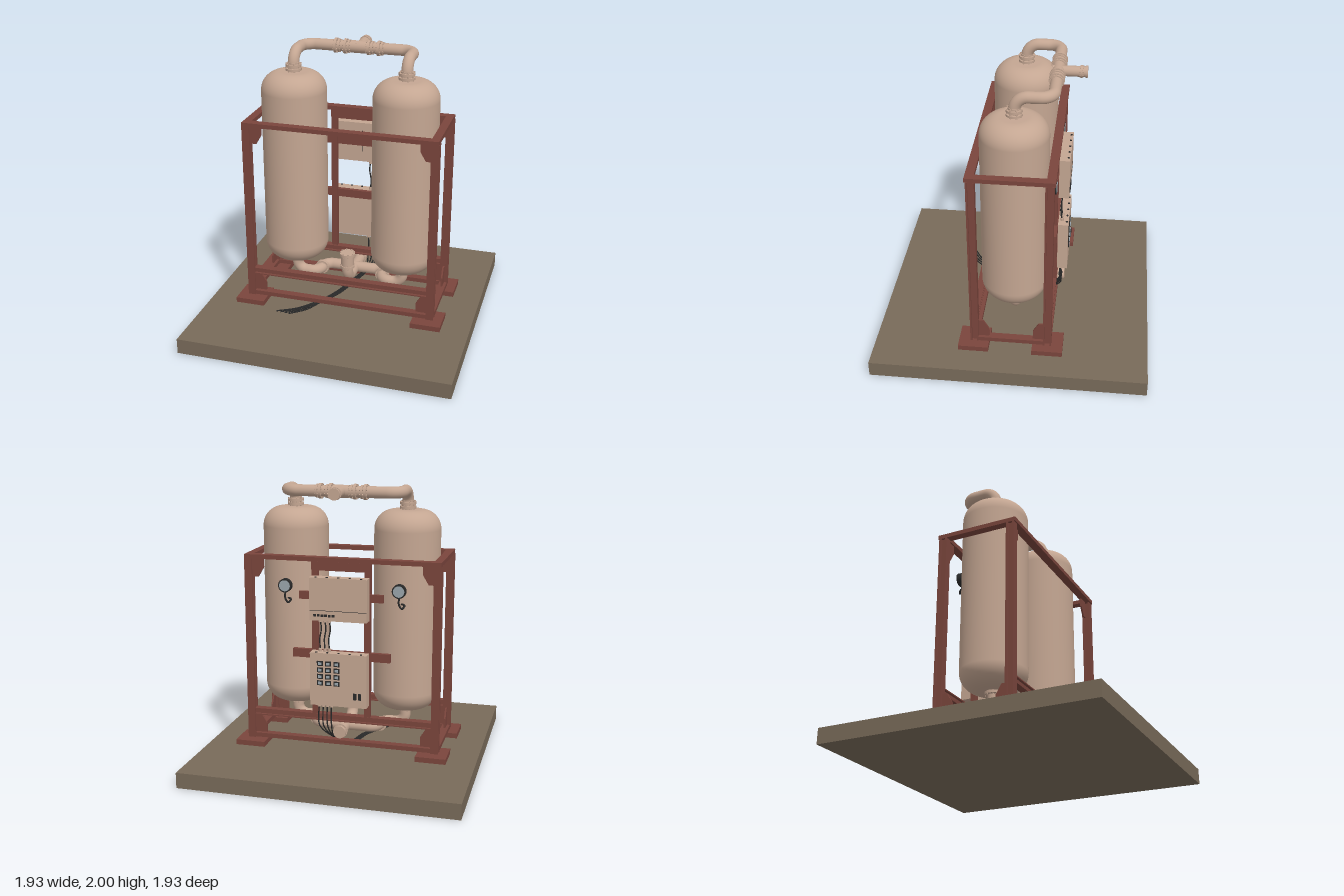
import * as THREE from 'three';

const mat = (color) => new THREE.MeshStandardMaterial({ color });
const TAN = mat(0xc4a692), RUST = mat(0x7a453c), STONE = mat(0x786a59), DARK = mat(0x2a2a2a), PALE = mat(0x9aa5ab);
const V = (p) => new THREE.Vector3(...p);

export function createModel() {
  const root = new THREE.Group();

  const add = (name, geo, material, parent = root) => {
    const m = new THREE.Mesh(geo, material);
    m.name = name;
    parent.add(m);
    return m;
  };
  // Box given by its low and high corners
  const box = (name, material, x0, x1, y0, y1, z0, z1) => {
    const m = add(name, new THREE.BoxGeometry(x1 - x0, y1 - y0, z1 - z0), material);
    m.position.set((x0 + x1) / 2, (y0 + y1) / 2, (z0 + z1) / 2);
    return m;
  };
  const orient = (o, axis) => {
    if (axis === 'x') o.rotation.z = Math.PI / 2;
    if (axis === 'z') o.rotation.x = Math.PI / 2;
  };
  const disc = (name, material, p, axis, r, h, sides = 32) => {
    const m = add(name, new THREE.CylinderGeometry(r, r, h, sides), material);
    m.position.set(...p);
    orient(m, axis);
    return m;
  };
  // Bolted pipe flange
  const flange = (p, axis, r = 0.054, h = 0.02) => {
    const g = new THREE.Group();
    g.name = 'flange';
    add('flangeDisc', new THREE.CylinderGeometry(r, r, h, 32), TAN, g);
    for (let i = 0; i < 8; i++) {
      const a = (i + 0.5) * Math.PI / 4;
      const b = add('bolt', new THREE.CylinderGeometry(0.005, 0.005, h + 0.014, 6), TAN, g);
      b.position.set(Math.cos(a) * (r - 0.007), 0, Math.sin(a) * (r - 0.007));
    }
    g.position.set(...p);
    orient(g, axis);
    root.add(g);
  };
  // Pipe through corner points with rounded bends
  const pipe = (name, pts, bend, r = 0.04) => {
    const path = new THREE.CurvePath();
    const P = pts.map(V);
    let last = P[0];
    for (let i = 1; i < P.length - 1; i++) {
      const a = P[i].clone().add(P[i - 1].clone().sub(P[i]).setLength(bend));
      const b = P[i].clone().add(P[i + 1].clone().sub(P[i]).setLength(bend));
      const k = 0.552;
      path.add(new THREE.LineCurve3(last, a));
      path.add(new THREE.CubicBezierCurve3(a, a.clone().lerp(P[i], k), b.clone().lerp(P[i], k), b));
      last = b;
    }
    path.add(new THREE.LineCurve3(last, P[P.length - 1]));
    add(name, new THREE.TubeGeometry(path, 72, r, 24), TAN);
  };
  const cable = (name, pts, r = 0.005) =>
    add(name, new THREE.TubeGeometry(new THREE.CatmullRomCurve3(pts.map(V)), 48, r, 6), DARK);

  // Ground slab
  box('slab', STONE, -0.965, 0.965, 0, 0.11, -0.965, 0.965);

  // Tank profile with rounded shoulders
  const profile = [];
  const R = 0.232, c = 0.135;
  const arc = (yc, from) => {
    for (let i = 0; i <= 12; i++) {
      const a = from + (i / 12) * Math.PI / 2;
      profile.push(new THREE.Vector2(R - c + Math.cos(a) * c, yc + Math.sin(a) * c));
    }
  };
  profile.push(new THREE.Vector2(0, 0.388));
  arc(0.388 + c, -Math.PI / 2);
  arc(1.81 - c, 0);
  profile.push(new THREE.Vector2(0, 1.81));

  // Corner gusset: cut plate in its own plane, corner at the origin
  const gussetGeo = (w, h) => {
    const s = new THREE.Shape([[0, 0], [w, 0], [w, h * 0.5], [w * 0.5, h], [0, h]].map((q) => new THREE.Vector2(...q)));
    return new THREE.ExtrudeGeometry(s, { depth: 0.012, bevelEnabled: false }).translate(0, 0, -0.006);
  };
  const gusset = (x, y, z, turn, flip) => {
    const m = add('gusset', gussetGeo(0.08, 0.135), RUST);
    m.position.set(x, y, z);
    m.rotation.set(flip ? Math.PI : 0, turn, 0);
  };

  for (const s of [-1, 1]) {
    const x = s * 0.405;
    add('tank', new THREE.LatheGeometry(profile, 64), TAN).position.x = x;

    // Tank necks
    for (const y of [1.825, 1.855]) flange([x, y, 0], 'y', 0.057, 0.016);
    disc('topNeck', TAN, [x, 1.835, 0], 'y', 0.043, 0.08);
    flange([x, 0.375, 0], 'y', 0.06, 0.02);

    // Upper and lower pipe runs
    pipe('upperPipe', [[x, 1.82, 0], [x, 1.947, 0], [x, 1.947, -0.25], [0, 1.947, -0.25]], 0.09);
    pipe('lowerPipe', [[x, 0.4, 0], [x, 0.26, 0], [s * 0.235, 0.26, 0], [s * 0.235, 0.26, -0.15], [0, 0.26, -0.15]], 0.072);
    for (const fx of [0.085, 0.157]) {
      flange([s * fx - 0.012, 1.947, -0.25], 'x', 0.053, 0.018);
      flange([s * fx + 0.012, 1.947, -0.25], 'x', 0.047, 0.014);
    }
    flange([s * 0.235, 0.26, -0.075], 'z', 0.052, 0.025);

    // Pressure gauge with its siphon
    disc('gaugeCase', DARK, [x, 1.285, -0.265], 'z', 0.048, 0.035);
    disc('gaugeFace', PALE, [x, 1.285, -0.284], 'z', 0.039, 0.004);
    disc('gaugeStem', DARK, [x, 1.285, -0.235], 'z', 0.012, 0.04, 12);
    cable('gaugeSiphon', [[x, 1.25, -0.265], [x, 1.19, -0.265], [x - 0.02, 1.165, -0.265], [x - 0.035, 1.185, -0.25], [x, 1.19, -0.22]], 0.007);

    // Frame parts repeated front and back
    for (const t of [-1, 1]) {
      const zc = t * 0.257, xc = s * 0.671;
      box('basePlate', RUST, s * 0.657 - 0.107, s * 0.657 + 0.107, 0.11, 0.147, t * 0.26 - 0.107, t * 0.26 + 0.107);
      for (const d of [-0.023, 0.023])
        box('postFlange', RUST, xc - 0.0275, xc + 0.0275, 0.147, 1.47, zc + d - 0.006, zc + d + 0.006);
      box('postWeb', RUST, xc - 0.006, xc + 0.006, 0.147, 1.47, zc - 0.02, zc + 0.02);
      gusset(s * 0.645, 1.47, t * 0.25, s > 0 ? Math.PI : 0, true);
      gusset(s * 0.645, 0.183, t * 0.25, s > 0 ? Math.PI : 0, false);
      gusset(xc, 0.183, t * 0.235, t > 0 ? Math.PI / 2 : -Math.PI / 2, false);
    }
    // Side rails
    box('topSideRail', RUST, s * 0.667 - 0.028, s * 0.667 + 0.028, 1.468, 1.498, -0.235, 0.235);
    box('sideSill', RUST, s * 0.671 - 0.0275, s * 0.671 + 0.0275, 0.152, 0.183, -0.235, 0.235);
    // Upright carrying the cabinets
    box('cabinetUpright', RUST, s * 0.188 - 0.022, s * 0.188 + 0.022, 0.37, 1.47, -0.28, -0.245);
  }

  // Front and back rails
  for (const t of [-1, 1]) {
    box('topRail', RUST, -0.695, 0.695, 1.468, 1.498, t * 0.265 - 0.03, t * 0.265 + 0.03);
    box('sill', RUST, -0.645, 0.645, 0.152, 0.183, t * 0.257 - 0.027, t * 0.257 + 0.027);
    for (const [y, h] of [[0.325, 0.008], [0.345, 0.048], [0.366, 0.008]]) {
      const w = h > 0.02 ? 0.008 : 0.026;
      box('middleRail', RUST, -0.645, 0.645, y - h / 2, y + h / 2, t * 0.257 - w, t * 0.257 + w);
    }
  }
  // Cabinet cross bars
  box('crossBar', RUST, -0.2, 0.2, 1.405, 1.465, -0.28, -0.245);
  box('crossBar', RUST, -0.35, 0.35, 0.78, 0.84, -0.285, -0.255);
  box('crossBar', RUST, -0.3, 0.3, 1.2, 1.255, -0.285, -0.265);

  // Upper outlet
  pipe('outletPipe', [[0, 1.947, -0.21], [0, 1.947, -0.44]], 0, 0.036);
  disc('outletTee', TAN, [0, 1.947, -0.25], 'x', 0.044, 0.11);
  flange([0, 1.947, -0.405], 'z', 0.042, 0.014);
  disc('outletCap', TAN, [0, 1.947, -0.438], 'z', 0.04, 0.016);

  // Lower inlet with its upright valve
  pipe('inletPipe', [[0, 0.42, 0.05], [0, 0.26, 0.05], [0, 0.26, -0.32]], 0.075);
  disc('valveBody', TAN, [0, 0.41, 0.05], 'y', 0.047, 0.08);
  flange([0, 0.365, 0.05], 'y', 0.053, 0.016);
  flange([0, 0.462, 0.05], 'y', 0.057, 0.02);
  flange([0, 0.26, -0.29], 'z', 0.05, 0.014);
  disc('inletCap', TAN, [0, 0.26, -0.322], 'z', 0.045, 0.018);

  // Control cabinets
  box('upperCabinet', TAN, -0.203, 0.203, 1.07, 1.37, -0.358, -0.285);
  box('lowerCabinet', TAN, -0.203, 0.203, 0.46, 0.84, -0.358, -0.285);
  box('cabinetSlot', DARK, 0.013, 0.019, 1.15, 1.31, -0.286, -0.282);
  box('cabinetSeam', DARK, -0.203, 0.203, 1.14, 1.143, -0.36, -0.357);
  for (let i = 0; i < 6; i++)
    box('indicator', DARK, 0.025 + i * 0.026, 0.043 + i * 0.026, 1.1, 1.116, -0.364, -0.357);
  for (let i = 0; i < 3; i++)
    for (let j = 0; j < 4; j++) {
      const x = 0.01 + i * 0.06, y = 0.625 + j * 0.047;
      box('switch', DARK, x - 0.021, x + 0.021, y - 0.017, y + 0.017, -0.364, -0.357);
      box('switchFace', PALE, x - 0.012, x + 0.012, y - 0.009, y + 0.009, -0.368, -0.363);
    }
  for (const x of [-0.12, -0.155]) box('breaker', DARK, x - 0.011, x + 0.011, 0.52, 0.565, -0.366, -0.357);
  for (let i = 0; i < 5; i++)
    for (const y of [0.84, 1.37])
      disc('cabinetScrew', DARK, [-0.16 + i * 0.08, y, -0.345], 'y', 0.008, 0.008, 10);

  // Cables between the cabinets
  for (const x of [0.075, 0.107, 0.14]) {
    cable('linkCable', [[x, 1.07, -0.31], [x - 0.006, 1.0, -0.305], [x + 0.006, 0.93, -0.3], [x, 0.84, -0.31]]);
    for (const y of [1.062, 0.85]) disc('cableGland', TAN, [x, y, -0.31], 'y', 0.012, 0.024, 12);
  }
  // Supply cables running out across the slab
  for (let i = 0; i < 4; i++) {
    const x = 0.06 + i * 0.03, d = i * 0.012;
    disc('cableGland', TAN, [x, 0.45, -0.315], 'y', 0.012, 0.024, 12);
    cable('supplyCable', [[x, 0.46, -0.315], [x + 0.008, 0.37, -0.3], [x, 0.3, -0.315], [0.06 + d, 0.21, -0.25],
      [-0.05 + d, 0.118, -0.12], [-0.11 + d, 0.117, 0.06], [-0.2 + d, 0.117, 0.22], [-0.3 + d * 2, 0.117, 0.34], [-0.43 + i * 0.032, 0.117, 0.42 + i * 0.004]]);
  }

  return root;
}
